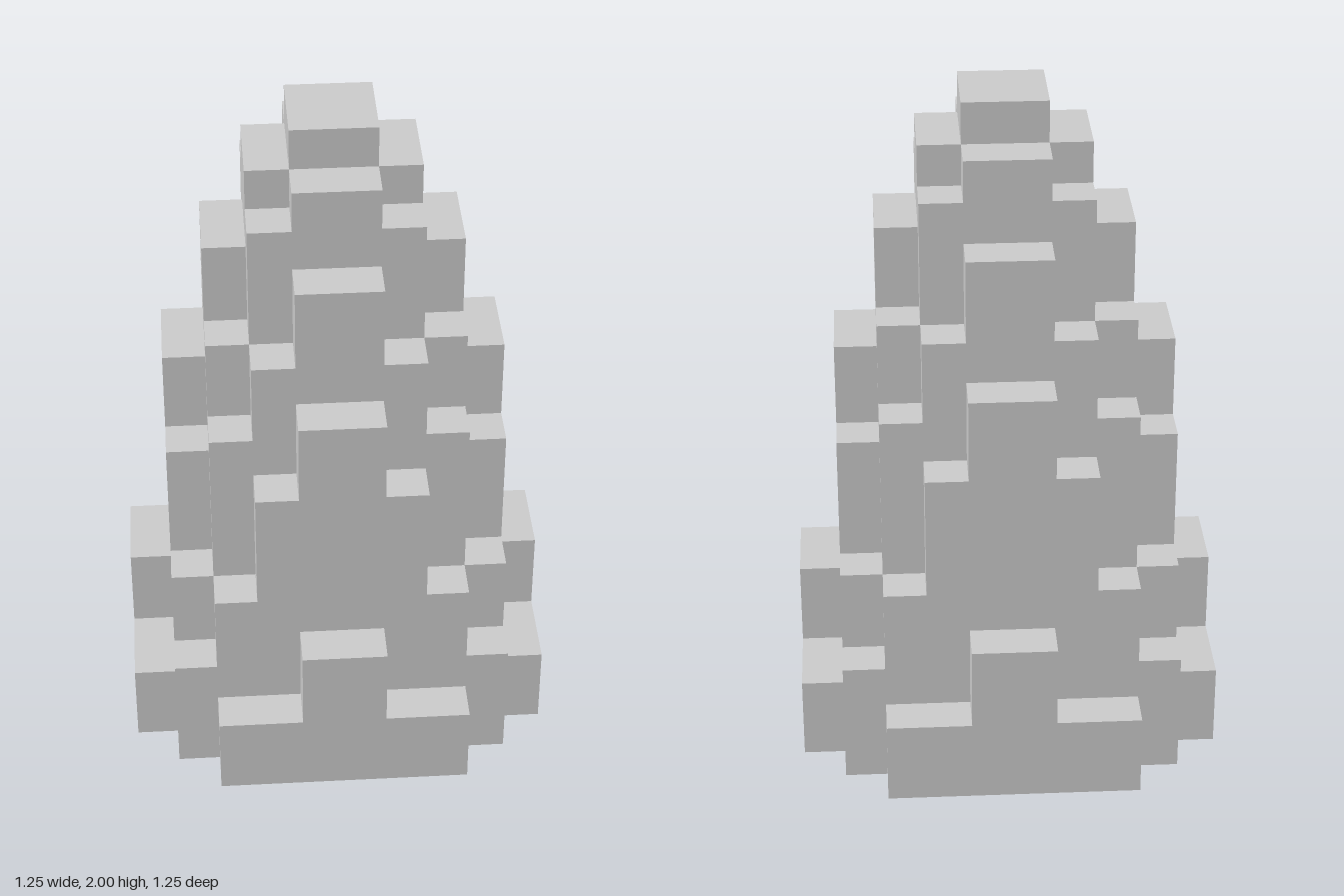
import * as THREE from 'three';

// Edges of the nine columns along x and z (the middle column is double width)
const EDGES = [-0.625, -0.5, -0.375, -0.25, -0.125, 0.125, 0.25, 0.375, 0.5, 0.625];

// Rings from the middle outwards: column heights from the ring's centre to its corner
const RINGS = [
  { name: 'peak', heights: [2] },
  { name: 'upperTier', heights: [1.875, 1.75] },
  { name: 'middleTier', heights: [1.625, 1.375, 1.125] },
  { name: 'lowerTier', heights: [1.25, 1, 0.625, 0.375] },
  { name: 'footing', heights: [0.5, 0.25, 0.25, 0, 0] },
];

const ringOf = (i, j) => Math.max(Math.abs(i - 4), Math.abs(j - 4));

function heightAt(i, j) {
  const ring = ringOf(i, j);
  return ring > 4 ? 0 : RINGS[ring].heights[Math.min(Math.abs(i - 4), Math.abs(j - 4))];
}

// Two triangles, corners counter-clockwise from outside
const pushQuad = (out, a, b, c, d) => out.push(...a, ...b, ...c, ...a, ...c, ...d);

// Top, underside and exposed walls of one column
function pushColumn(out, i, j) {
  const top = heightAt(i, j);
  if (top === 0) return;
  const [x0, x1, z0, z1] = [EDGES[i], EDGES[i + 1], EDGES[j], EDGES[j + 1]];
  pushQuad(out, [x0, top, z1], [x1, top, z1], [x1, top, z0], [x0, top, z0]);
  pushQuad(out, [x0, 0, z0], [x1, 0, z0], [x1, 0, z1], [x0, 0, z1]);

  const cx = (x0 + x1) / 2, cz = (z0 + z1) / 2;
  const hx = (x1 - x0) / 2, hz = (z1 - z0) / 2;
  for (const [dx, dz] of [[1, 0], [-1, 0], [0, 1], [0, -1]]) {
    const low = heightAt(i + dx, j + dz);
    if (low >= top) continue;
    const corner = (side, y) => [cx + (dx + side * dz) * hx, y, cz + (dz - side * dx) * hz];
    pushQuad(out, corner(-1, low), corner(1, low), corner(1, top), corner(-1, top));
  }
}

export function createModel() {
  const model = new THREE.Group();
  model.name = 'steppedSpire';
  const material = new THREE.MeshStandardMaterial({ color: 0xcccccc, flatShading: true });

  // One mesh per ring of columns
  RINGS.forEach(({ name }, ring) => {
    const positions = [];
    for (let i = 0; i < 9; i++) {
      for (let j = 0; j < 9; j++) {
        if (ringOf(i, j) === ring) pushColumn(positions, i, j);
      }
    }
    const geometry = new THREE.BufferGeometry();
    geometry.setAttribute('position', new THREE.Float32BufferAttribute(positions, 3));
    geometry.computeVertexNormals();
    const mesh = new THREE.Mesh(geometry, material);
    mesh.name = name;
    model.add(mesh);
  });
  return model;
}
